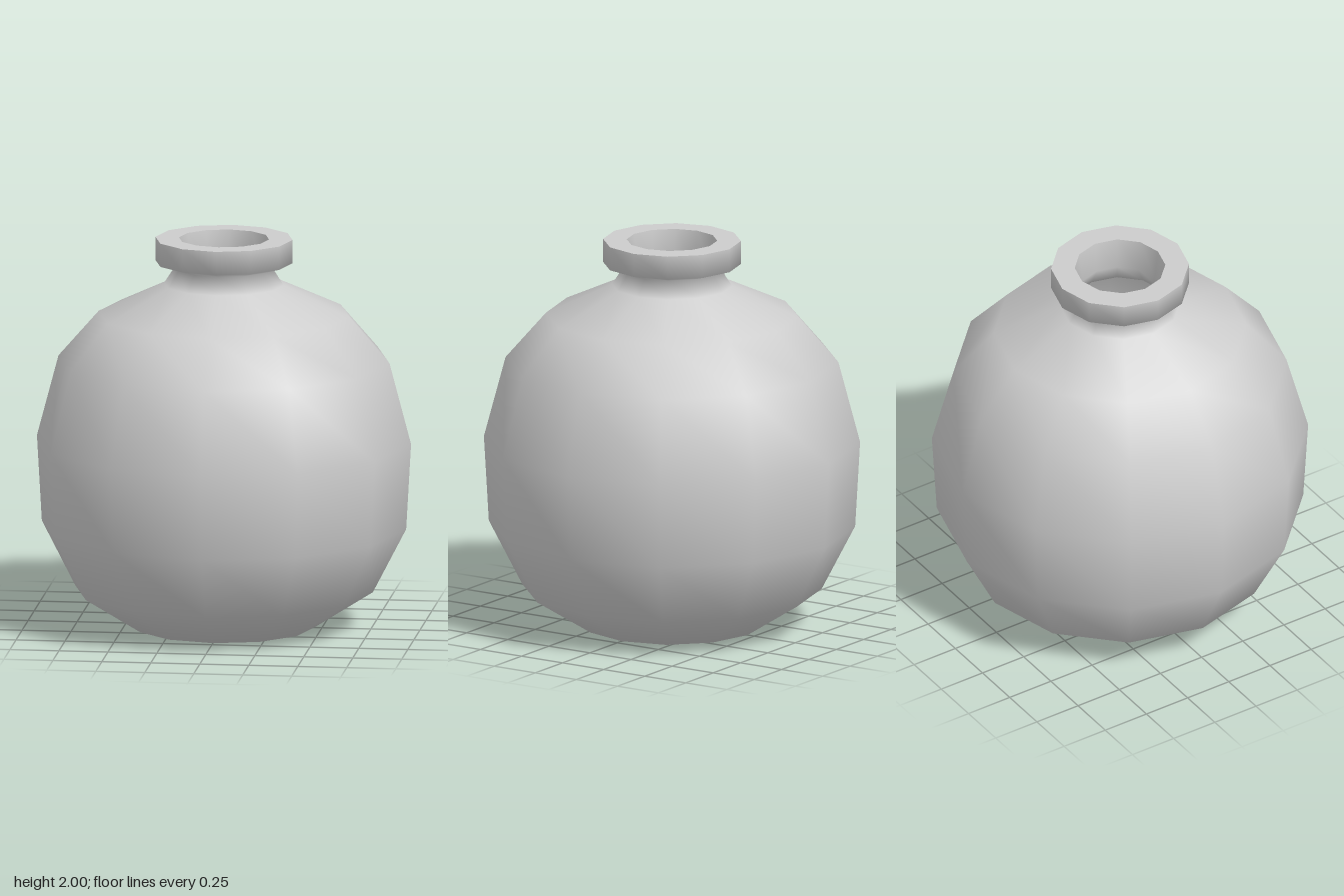
import * as THREE from 'three';

const SIDES = 12;

export function createModel() {
  const model = new THREE.Group();
  model.name = 'roundFlask';
  const clay = new THREE.MeshStandardMaterial({ color: 0xcccccc });
  clay.name = 'plain grey';

  // Each lathe is smooth in itself; edges between lathes stay sharp.
  const turn = (name, profile) => {
    const points = profile.map(([r, y]) => new THREE.Vector2(r, y));
    const mesh = new THREE.Mesh(new THREE.LatheGeometry(points, SIDES), clay);
    mesh.name = name;
    model.add(mesh);
  };

  // Base, belly, shoulder, neck and the outside of the lip
  turn('outerWall', [
    [0, 0], [0.46, 0], [0.76, 0.19], [0.93, 0.52], [0.955, 0.96], [0.845, 1.375],
    [0.64, 1.61], [0.305, 1.765], [0.25, 1.85], [0.35, 1.88], [0.35, 2],
  ]);

  // Flat ring around the mouth
  turn('rim', [[0.35, 2], [0.23, 2]]);

  // Mouth and hollow inside, from the top down to the floor
  turn('innerWall', [
    [0.23, 2], [0.21, 1.84], [0.26, 1.74], [0.6, 1.57], [0.79, 1.35], [0.895, 0.95],
    [0.87, 0.54], [0.71, 0.24], [0.44, 0.06], [0, 0.06],
  ]);

  return model;
}
